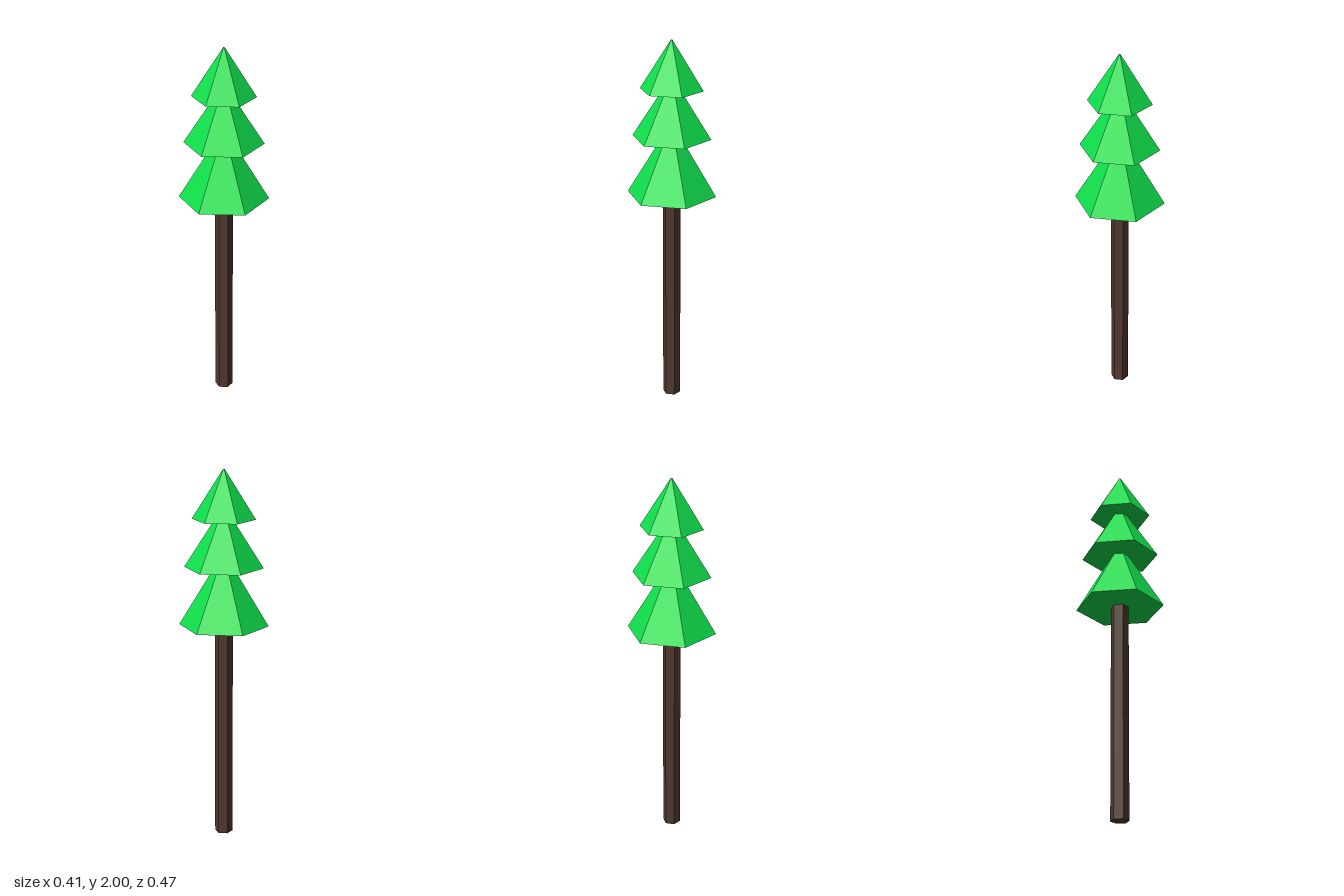
import * as THREE from 'three';

export function createModel() {
  const tree = new THREE.Group();
  tree.name = 'pineTree';
  const bark = new THREE.MeshStandardMaterial({ color: 0x50392d, flatShading: true });
  const needles = new THREE.MeshStandardMaterial({ color: 0x10e04c, flatShading: true });

  // Six-sided frustum standing between two heights, corners on the z axis
  function addFrustum(name, y0, y1, r0, r1, material) {
    const height = y1 - y0;
    const mesh = new THREE.Mesh(new THREE.CylinderGeometry(r1, r0, height, 6), material);
    mesh.position.y = y0 + height / 2;
    mesh.name = name;
    tree.add(mesh);
  }

  addFrustum('trunk', 0, 1.18, 0.048, 0.048, bark);

  // Foliage tiers: bottom, top, bottom radius, top radius
  const tiers = [
    ['lowerFoliage', 1.18, 1.49, 0.237, 0.05],
    ['middleFoliage', 1.49, 1.743, 0.208, 0.046],
    ['upperFoliage', 1.743, 2, 0.166, 0.004],
  ];
  for (const tier of tiers) addFrustum(...tier, needles);

  return tree;
}
